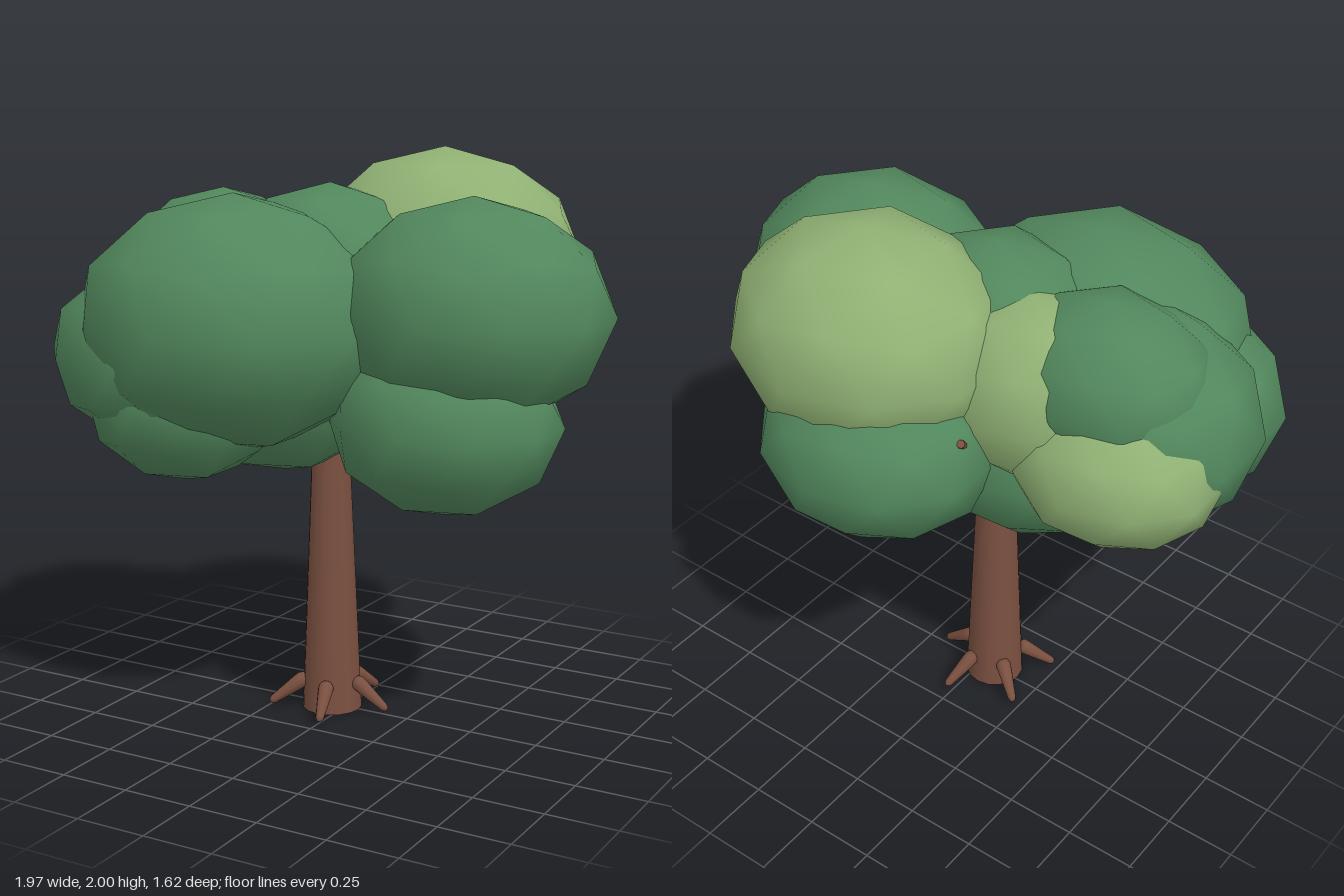
import * as THREE from 'three';

export function createModel() {
  const tree = new THREE.Group();
  tree.name = 'tree';

  const bark = new THREE.MeshStandardMaterial({ color: 0x7a5040 });
  bark.name = 'brown bark';
  const leaf = new THREE.MeshStandardMaterial({ color: 0x52885d });
  leaf.name = 'green leaves';
  const paleLeaf = new THREE.MeshStandardMaterial({ color: 0x90b174 });
  paleLeaf.name = 'pale green leaves';

  // Tapered round limb between two points
  function limb(name, from, to, r0, r1, sides) {
    const a = new THREE.Vector3(...from), b = new THREE.Vector3(...to);
    const dir = b.clone().sub(a);
    const mesh = new THREE.Mesh(new THREE.CylinderGeometry(r1, r0, dir.length(), sides), bark);
    mesh.position.copy(a).add(b).multiplyScalar(0.5);
    mesh.quaternion.setFromUnitVectors(new THREE.Vector3(0, 1, 0), dir.normalize());
    mesh.name = name;
    tree.add(mesh);
  }

  // Trunk and the branch that pokes out at the back
  limb('trunk', [-0.05, 0, 0.01], [-0.055, 1.25, 0.01], 0.107, 0.055, 16);
  limb('branch', [-0.06, 1.0, 0], [-0.265, 1.46, -0.47], 0.035, 0.014, 8);

  // Five roots around the base, each ending in a small rounded tip
  const rootProfile = [[0, 0], [0.02, 0.004], [0.028, 0.02], [0.026, 0.05], [0.015, 0.15], [0.009, 0.162], [0, 0.165]]
    .map(([r, y]) => new THREE.Vector2(r, y));
  const rootGeometry = new THREE.LatheGeometry(rootProfile, 10);
  for (let i = 0; i < 5; i++) {
    const a = (i / 5) * Math.PI * 2;
    const dir = new THREE.Vector3(Math.cos(a) * 0.145, -0.1, Math.sin(a) * 0.145).normalize();
    const root = new THREE.Mesh(rootGeometry, bark);
    root.position.set(-0.05 + Math.cos(a) * 0.09, 0.115, 0.01 + Math.sin(a) * 0.09);
    root.quaternion.setFromUnitVectors(new THREE.Vector3(0, 1, 0), dir);
    root.name = 'root';
    tree.add(root);
  }

  // Leaf clump: a coarse smooth ball standing on one of its corners
  const ball = new THREE.IcosahedronGeometry(1, 1);
  ball.rotateX(-Math.atan2((1 + Math.sqrt(5)) / 2, 1));
  ball.rotateY(Math.PI / 2);

  // name, material, centre, radii
  const clumps = [
    ['topBackClump', paleLeaf, [0.22, 1.615, -0.315], [0.494, 0.385, 0.438]],
    ['lowerBackClump', leaf, [0.1, 1.31, -0.435], [0.42, 0.325, 0.378]],
    ['upperLeftClump', leaf, [0.525, 1.49, 0.085], [0.479, 0.382, 0.42]],
    ['lowerLeftClump', leaf, [0.464, 1.13, 0.155], [0.403, 0.313, 0.348]],
    ['frontClump', leaf, [-0.255, 1.43, 0.313], [0.562, 0.436, 0.495]],
    ['upperRightClump', leaf, [-0.51, 1.56, -0.02], [0.376, 0.29, 0.31]],
    ['rightClump', leaf, [-0.5, 1.4, 0.06], [0.51, 0.395, 0.42]],
    ['frontRightClump', leaf, [-0.46, 1.31, 0.31], [0.49, 0.345, 0.43]],
    ['lowerFrontClump', leaf, [-0.42, 1.17, 0.38], [0.36, 0.29, 0.313]],
    ['underClump', leaf, [-0.23, 1.235, 0.03], [0.43, 0.37, 0.43]],
    ['middleClump', leaf, [-0.055, 1.53, 0.01], [0.42, 0.358, 0.37]],
    ['backRightClump', paleLeaf, [-0.61, 1.34, -0.1], [0.372, 0.28, 0.328]],
    ['backMiddleClump', paleLeaf, [-0.28, 1.49, -0.1], [0.36, 0.335, 0.31]],
  ];
  for (const [name, material, centre, radii] of clumps) {
    const clump = new THREE.Mesh(ball, material);
    clump.position.set(...centre);
    clump.scale.set(...radii);
    clump.name = name;
    tree.add(clump);
  }

  return tree;
}
